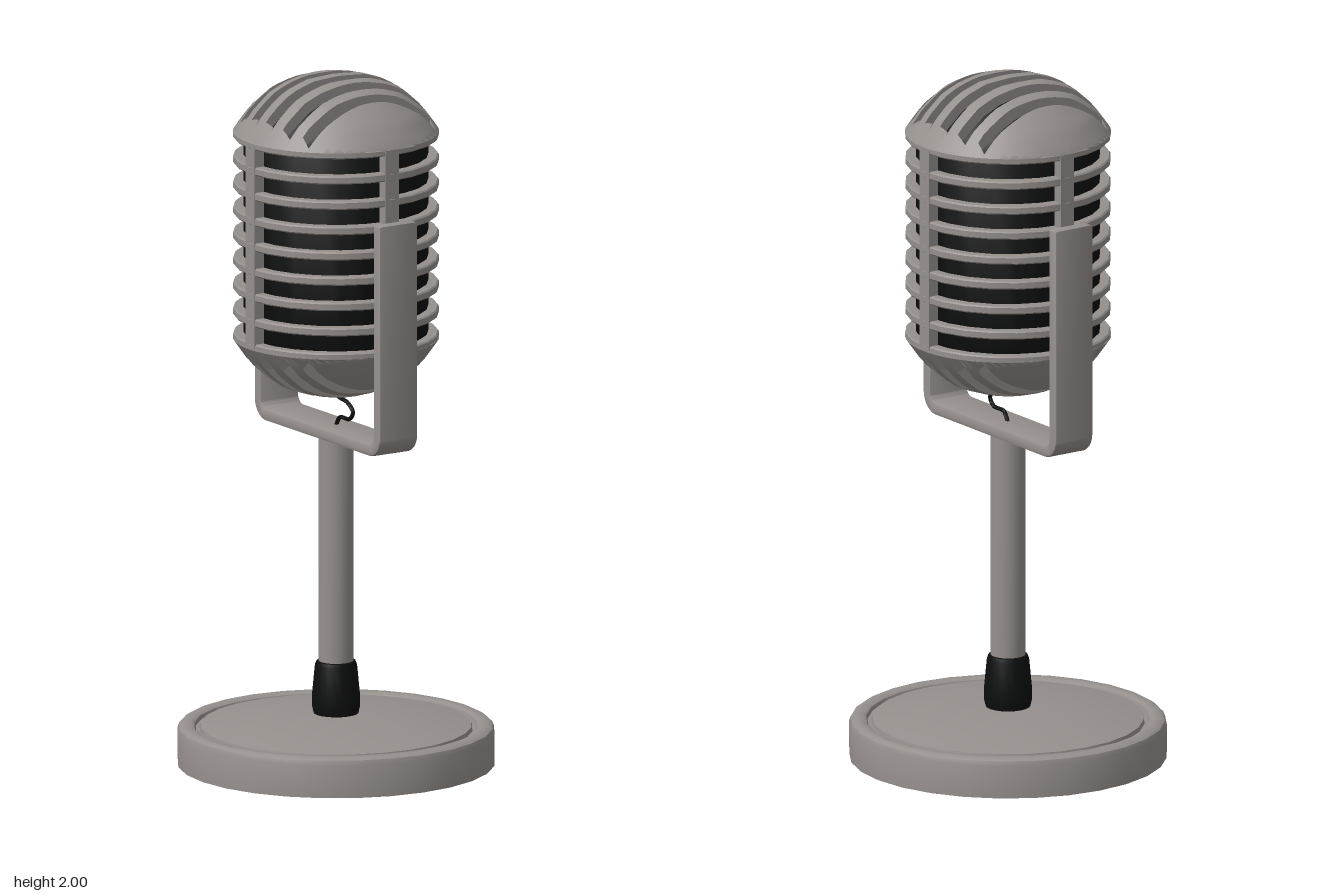
import * as THREE from 'three';
import { toCreasedNormals } from 'three/addons/utils/BufferGeometryUtils.js';

const metal = new THREE.MeshStandardMaterial({ color: 0x96908d });
metal.name = 'warm grey metal';
const black = new THREE.MeshStandardMaterial({ color: 0x0d0e0e });
black.name = 'black';

const MID = 1.537;   // centre height of the head
const R = 0.292;     // head radius

function add(parent, name, geometry, material, crease = 0.6) {
  const mesh = new THREE.Mesh(toCreasedNormals(geometry, crease), material);
  mesh.name = name;
  parent.add(mesh);
  return mesh;
}

function lathe(points, segments = 24) {
  return new THREE.LatheGeometry(points.map(([x, y]) => new THREE.Vector2(x, y)), segments);
}

// Dome height (above the head centre) at a given radius
const DOME = [[0, 0.463], [0.09, 0.456], [0.145, 0.438], [0.19, 0.415], [0.25, 0.36], [R, 0.3]];
function domeHeight(r) {
  for (let i = 1; i < DOME.length; i++) {
    const [r0, h0] = DOME[i - 1], [r1, h1] = DOME[i];
    if (r <= r1) return h0 + (h1 - h0) * (r - r0) / (r1 - r0);
  }
  return 0.3;
}
const edge = z => Math.sqrt(Math.max(0, R * R - z * z));

// Curved slab of the dome between z0 and z1, from xa(z) to xb(z)
function domeSlab(z0, z1, xa, xb, nx, nz) {
  const pos = [], idx = [], L = 2 * (nz + 1), thick = 0.04;
  for (let i = 0; i <= nx; i++) {
    for (let k = 0; k < L; k++) {
      const under = k > nz, j = under ? L - 1 - k : k;
      const z = z0 + (z1 - z0) * j / nz;
      const x = xa(z) + (xb(z) - xa(z)) * i / nx;
      const h = domeHeight(Math.hypot(x, z));
      pos.push(x, under ? Math.max(0.297, h - thick) : h, z);
    }
  }
  for (let i = 0; i < nx; i++) {
    for (let k = 0; k < L; k++) {
      const a = i * L + k, b = i * L + (k + 1) % L, c = b + L, d = a + L;
      idx.push(a, b, d, b, c, d);
    }
  }
  for (let j = 0; j < nz; j++) {
    const a = j, b = j + 1, c = L - 2 - j, d = L - 1 - j, e = nx * L;
    idx.push(a, c, b, a, d, c, e + a, e + b, e + c, e + a, e + c, e + d);
  }
  const g = new THREE.BufferGeometry();
  g.setAttribute('position', new THREE.Float32BufferAttribute(pos, 3));
  g.setIndex(idx);
  return g;
}

// Domed cap with six slots running across it
function slottedDome(name) {
  const dome = new THREE.Group();
  dome.name = name;
  const half = [0.017, 0.057, 0.091, 0.129, 0.157, 0.187, R];
  const cuts = [...half.map(z => -z).reverse(), ...half];
  const slotEnd = [0.215, 0.24, 0.25];
  for (let i = 0; i < cuts.length - 1; i++) {
    const z0 = cuts[i], z1 = cuts[i + 1];
    if (i % 2 === 0) {
      const cap = i === 0 || i === cuts.length - 2;
      add(dome, cap ? 'domeSide' : 'domeFin',
        domeSlab(z0, z1, z => -edge(z), edge, 20, cap ? 6 : 2), metal);
    } else {
      const n = (i - 1) / 2, end = slotEnd[Math.min(n, 5 - n)];
      add(dome, 'slotEnd', domeSlab(z0, z1, () => end, edge, 3, 2), metal);
      add(dome, 'slotEnd', domeSlab(z0, z1, z => -edge(z), () => -end, 3, 2), metal);
    }
  }
  return dome;
}

function createHead() {
  const head = new THREE.Group();
  head.name = 'head';
  head.position.y = MID;

  // Dark mesh core seen through the slots
  const top = [[0.262, 0.29], [0.235, 0.335], [0.175, 0.388], [0.13, 0.413], [0.08, 0.431], [0, 0.436]];
  const bottom = top.map(([r, y]) => [r, -y]).reverse();
  add(head, 'innerCore', lathe([...bottom, ...top]), black);

  // Domes
  head.add(slottedDome('topDome'));
  const lower = slottedDome('bottomDome');
  lower.rotation.x = Math.PI;
  head.add(lower);

  // Horizontal grille rings: wide ones at both ends, thin ones between
  const ring = (y0, y1) => lathe([[0.25, y0], [R - 0.004, y0], [R, y0 + 0.004],
    [R, y1 - 0.004], [R - 0.004, y1], [0.25, y1]]);
  for (let i = 0; i <= 8; i++) {
    const y = -0.294 + i * 0.0735;
    const y0 = i === 0 ? -0.302 : y - 0.012, y1 = i === 8 ? 0.302 : y + 0.012;
    add(head, 'grilleRing', ring(y0, y1), metal);
  }

  // Four upright bars
  for (let i = 0; i < 4; i++) {
    const a = i * Math.PI / 2;
    const bar = add(head, 'grilleBar', new THREE.BoxGeometry(0.046, 0.59, 0.035), metal);
    bar.position.set(Math.sin(a) * 0.273, 0, Math.cos(a) * 0.273);
    bar.rotation.y = a;
  }
  return head;
}

// U-shaped bracket holding the head at front and back
function yokeGeometry() {
  const s = new THREE.Shape(), P = Math.PI;
  s.moveTo(-0.325, 1.625);
  s.lineTo(-0.325, 1.01);
  s.absarc(-0.265, 1.01, 0.06, P, 1.5 * P, false);
  s.absarc(0.265, 1.01, 0.06, 1.5 * P, 2 * P, false);
  s.lineTo(0.325, 1.625);
  s.lineTo(0.291, 1.625);
  s.lineTo(0.291, 1.01);
  s.absarc(0.265, 1.01, 0.026, 0, -P / 2, true);
  s.absarc(-0.265, 1.01, 0.026, -P / 2, -P, true);
  s.lineTo(-0.291, 1.625);
  s.closePath();
  const g = new THREE.ExtrudeGeometry(s, {
    depth: 0.118, bevelEnabled: true, bevelSize: 0.006, bevelThickness: 0.006,
    bevelOffset: -0.006, bevelSegments: 2, curveSegments: 6,
  });
  g.translate(0, 0, -0.059);
  g.rotateY(P / 2);
  return g;
}

export function createModel() {
  const model = new THREE.Group();
  model.name = 'tableMicrophone';

  // Round base with raised rim, groove and shallow crown
  add(model, 'base', lathe([[0, 0], [0.45, 0], [0.451, 0.095], [0.446, 0.108], [0.435, 0.115],
    [0.412, 0.115], [0.403, 0.11], [0.399, 0.1], [0.388, 0.1], [0.385, 0.112],
    [0.3, 0.128], [0.2, 0.14], [0.1, 0.146], [0, 0.147]], 28), metal);

  // Stand
  add(model, 'pole', new THREE.CylinderGeometry(0.05, 0.05, 0.84, 20), metal).position.y = 0.54;
  add(model, 'collar', lathe([[0.05, 0.135], [0.062, 0.14], [0.068, 0.165], [0.068, 0.2],
    [0.06, 0.285], [0.056, 0.297], [0.048, 0.299]], 20), black);
  add(model, 'yoke', yokeGeometry(), metal);

  // Cable from the head down into the yoke
  const path = new THREE.CatmullRomCurve3([[1.11, 0], [1.07, 0.01], [1.058, 0.06], [1.035, 0.088],
    [1.012, 0.07], [1.008, 0.02], [0.98, 0]].map(([y, z]) => new THREE.Vector3(0, y, z)));
  add(model, 'cable', new THREE.TubeGeometry(path, 32, 0.006, 8), black, 1);

  model.add(createHead());
  return model;
}
